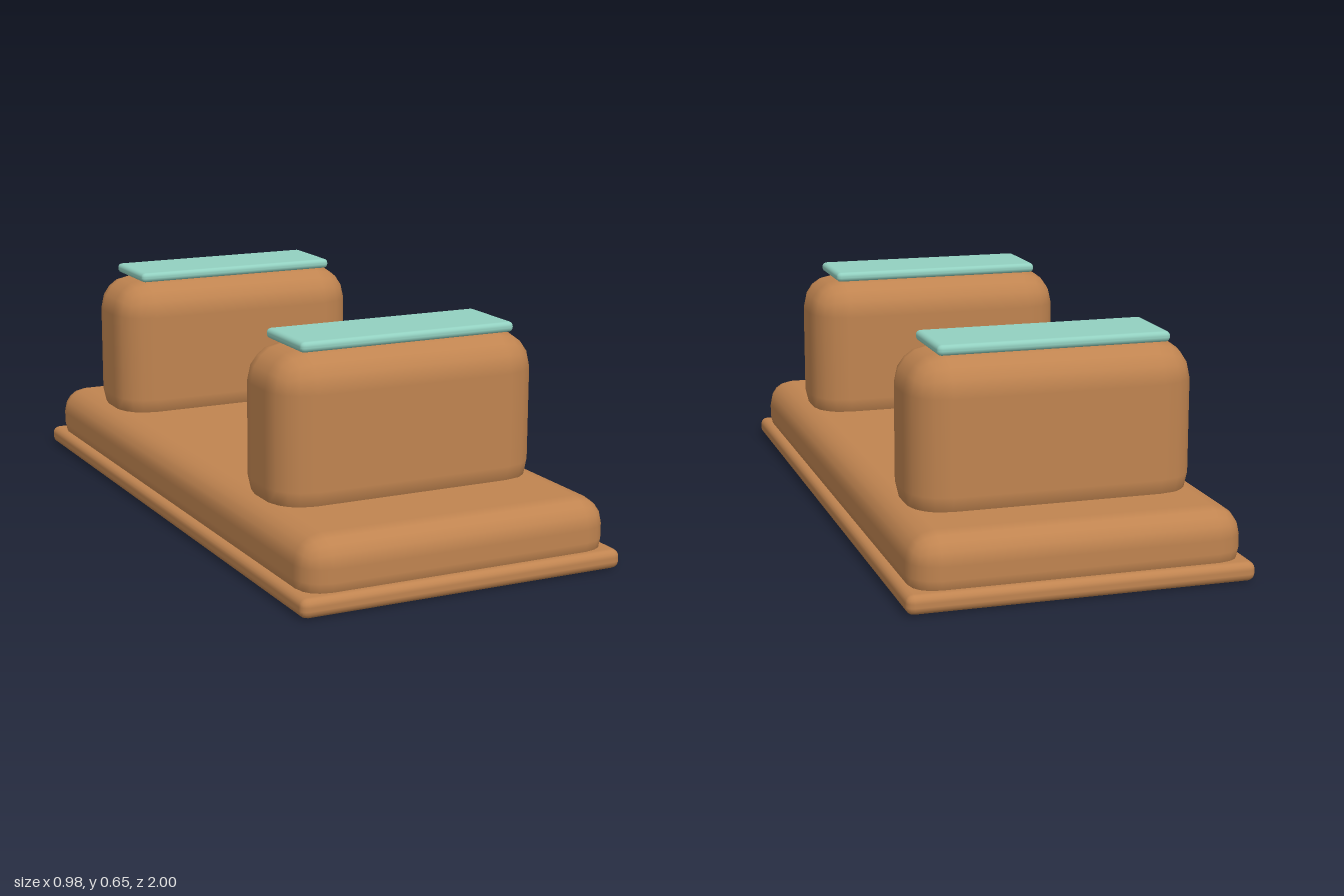
import * as THREE from 'three';
import { RoundedBoxGeometry } from 'three/addons/geometries/RoundedBoxGeometry.js';

export function createModel() {
  const model = new THREE.Group();
  model.name = 'paddedBench';

  const brown = new THREE.MeshStandardMaterial({ color: 0xc08450 });
  brown.name = 'tan brown';
  const teal = new THREE.MeshStandardMaterial({ color: 0x92d0c0 });
  teal.name = 'soft teal';

  // Rounded slab given by its size, bottom height and z centre
  function slab(name, parent, material, [w, h, d], bottom, z, radius) {
    const mesh = new THREE.Mesh(new RoundedBoxGeometry(w, h, d, 2, radius), material);
    mesh.name = name;
    mesh.position.set(0, bottom + h / 2, z);
    parent.add(mesh);
  }

  // Thin plinth with a thick cushion-edged platform sunk into it
  slab('plinth', model, brown, [0.98, 0.055, 2], 0, 0, 0.022);
  slab('platform', model, brown, [0.94, 0.198, 1.96], 0.002, 0, 0.08);

  // Two upright blocks, each capped by a flat pad
  for (const [name, z] of [['frontBlock', 0.55], ['backBlock', -0.625]]) {
    const group = new THREE.Group();
    group.name = name;
    slab(name + 'Body', group, brown, [0.82, 0.49, 0.31], 0.132, z, 0.11);
    slab(name + 'Pad', group, teal, [0.664, 0.03, 0.234], 0.621, z, 0.0135);
    model.add(group);
  }

  return model;
}
